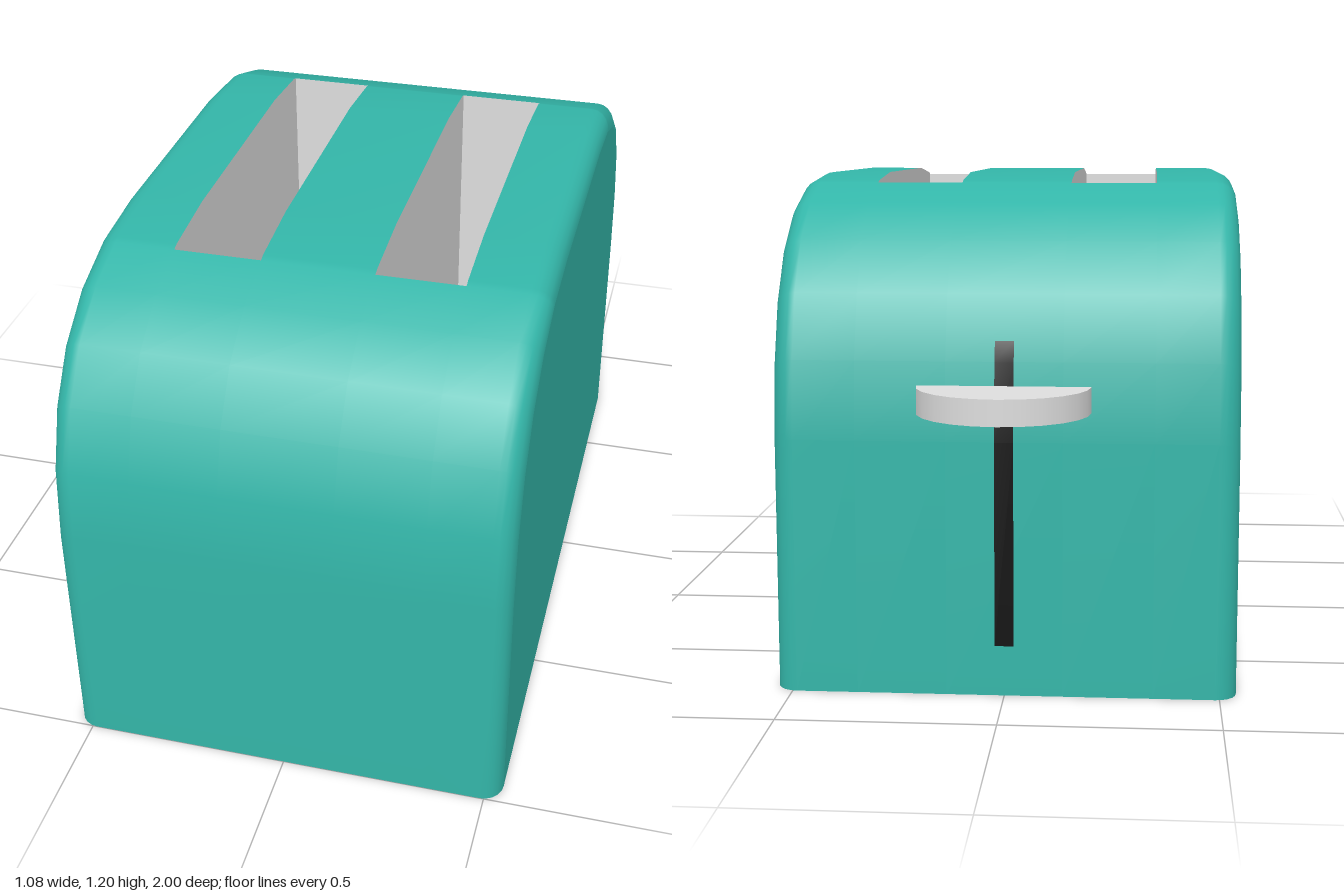
import * as THREE from 'three';

const material = (name, color, side = THREE.FrontSide) => {
  const m = new THREE.MeshStandardMaterial({ color, side });
  m.name = name;
  return m;
};

// Smooth surface through rows of points; skip(centre) leaves a hole
function grid(rows, skip = () => false) {
  const n = rows[0].length, index = [];
  for (let i = 0; i < rows.length - 1; i++) {
    for (let j = 0; j < n - 1; j++) {
      const centre = rows[i][j].clone().add(rows[i + 1][j + 1]).multiplyScalar(0.5);
      if (skip(centre)) continue;
      const a = i * n + j, b = a + n;
      index.push(a, b, b + 1, a, b + 1, a + 1);
    }
  }
  const g = new THREE.BufferGeometry().setFromPoints(rows.flat());
  g.setIndex(index);
  g.computeVertexNormals();
  return g;
}

export function createModel() {
  const teal = material('teal enamel', 0x33b5a8);
  const metal = material('light metal', 0xdddddd);
  const liner = material('slot metal', 0xdddddd, THREE.DoubleSide);
  const black = material('black slit', 0x0a0a0a, THREE.DoubleSide);
  const model = new THREE.Group();
  model.name = 'toaster';
  const add = (name, geometry, mat) => {
    const mesh = new THREE.Mesh(geometry, mat);
    mesh.name = name;
    model.add(mesh);
    return mesh;
  };

  // Side profile [z, y]: front foot, shoulder curve, then mirrored to the back
  const zMid = 0.1, slotHalf = 0.5, slotX = [0.135, 0.345];
  const half = [[1, 0]];
  for (let i = 0; i <= 6; i++) {
    const t = i / 6;
    if (i === 5) half.push([zMid + slotHalf, 1.178]); // end of the slots
    half.push([1 - 0.6 * t * t, 1.2 - 0.6 * (1 - t) ** 2]);
  }
  const profile = [...half, ...half.map(([z, y]) => [2 * zMid - z, y]).reverse()];

  // Profile at station x, drawn in by d for the rounded edge
  const section = (x, d = 0) => profile.map(([z, y]) =>
    new THREE.Vector3(x, y * (1.2 - d) / 1.2, zMid + (z - zMid) * (0.9 - d) / 0.9));

  // Body shell with rounded side edges and two slot openings
  const r = 0.05, steps = 5, edge = [];
  for (let i = 0; i <= steps; i++) {
    const a = (i / steps) * Math.PI / 2;
    edge.push([0.54 - r + r * Math.sin(a), r * (1 - Math.cos(a))]);
  }
  const right = [...slotX.map(x => [x, 0]), ...edge];
  const stations = [...right.map(([x, d]) => [-x, d]).reverse(), ...right];
  const rows = stations.map(([x, d]) => section(x, d));
  const inSlot = p => Math.abs(p.x) > slotX[0] && Math.abs(p.x) < slotX[1] &&
    Math.abs(p.z - zMid) < slotHalf;
  add('bodyShell', grid(rows, inSlot), teal);

  // Flat sides and underside
  for (const [name, row, flip] of [['rightSide', rows[0], true], ['leftSide', rows.at(-1), false]]) {
    const front = row.slice(0, half.length), back = row.slice(half.length).reverse();
    add(name, grid(flip ? [back, front] : [front, back]), teal);
  }
  add('underside', grid(rows.map(row => [row.at(-1), row[0]])), teal);

  // Bread slots: walls hang from the curved rim down to a floor
  const floorY = 0.3;
  const rimProfile = profile.filter(([z]) => Math.abs(z - zMid) < slotHalf + 0.001);
  for (const s of [-1, 1]) {
    const side = x => rimProfile.map(([z, y]) => new THREE.Vector3(s * x, y, z));
    const rim = [...side(slotX[0]), ...side(slotX[1]).reverse()];
    rim.push(rim[0].clone());
    const base = rim.map(p => new THREE.Vector3(p.x, floorY, p.z));
    const walls = grid([rim, base]).toNonIndexed();
    walls.computeVertexNormals();
    const name = s > 0 ? 'leftSlot' : 'rightSlot';
    add(name + 'Walls', walls, liner);
    const floor = new THREE.PlaneGeometry(slotX[1] - slotX[0], 2 * slotHalf).rotateX(-Math.PI / 2);
    add(name + 'Floor', floor, liner).position.set(s * (slotX[0] + slotX[1]) / 2, floorY, zMid);
  }

  // Lever slit: thin strip following the back surface
  const slit = [[0.12, -0.8], [0.6, -0.8], [0.783, -0.783], [0.83, -0.767]];
  add('leverSlit', grid([0.022, -0.022].map(x =>
    slit.map(([y, z]) => new THREE.Vector3(x, y, z - 0.004)))), black);

  // Half-disc lever
  const lever = new THREE.CylinderGeometry(0.2, 0.2, 0.06, 12, 1, false, Math.PI / 2, Math.PI);
  add('lever', lever, metal).position.set(0, 0.7, -0.8);
  const leverBack = new THREE.PlaneGeometry(0.4, 0.06);
  add('leverInnerFace', leverBack, metal).position.set(0, 0.7, -0.8);

  return model;
}
